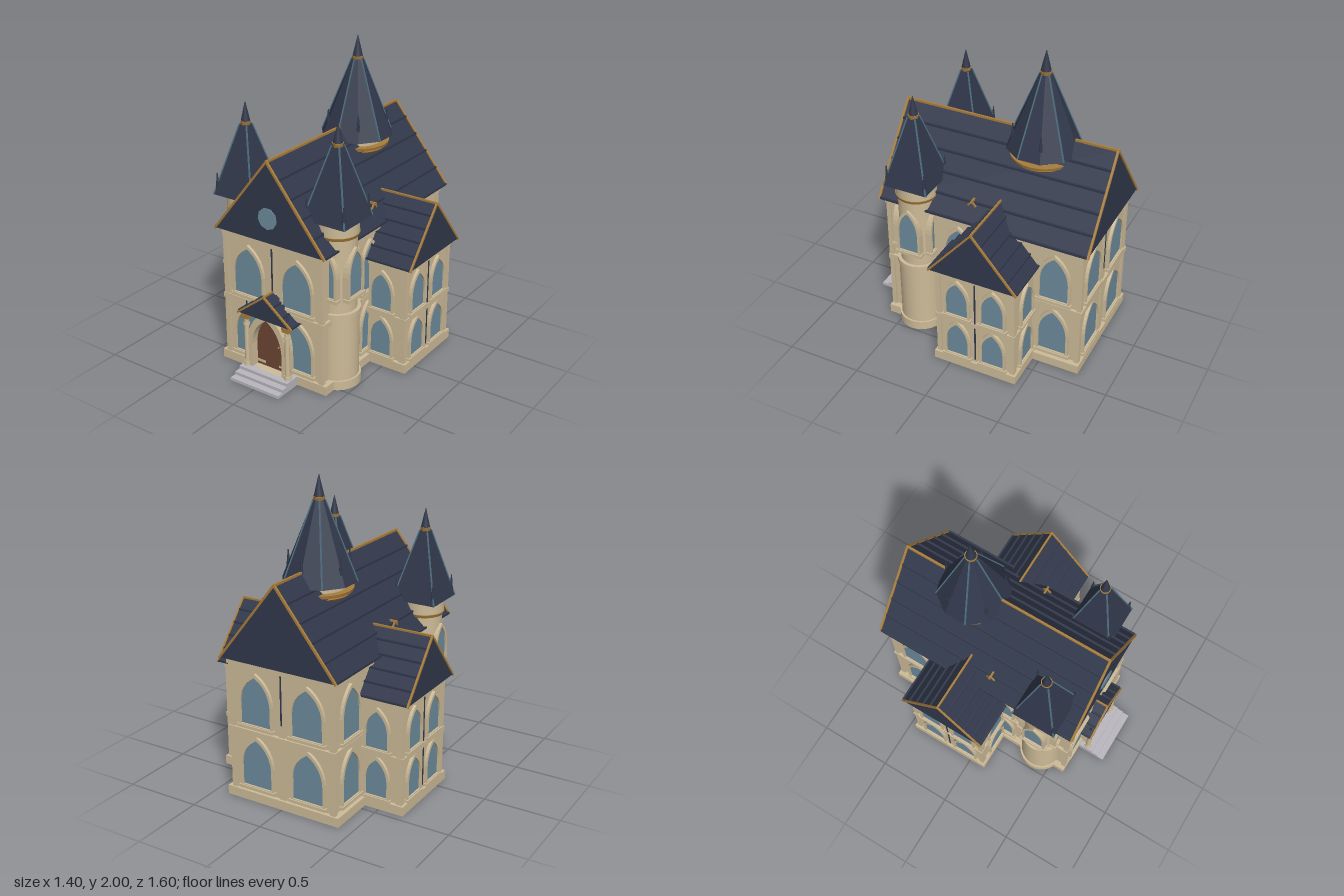
import * as THREE from 'three';

const paint = (name, color) => {
  const m = new THREE.MeshStandardMaterial({ color });
  m.name = name;
  return m;
};

export function createModel() {
  const stone = paint('stone', 0xcdbb98), slate = paint('slate', 0x31384b), gold = paint('gold', 0xa97d3c);
  const glass = paint('glass', 0x6d8b9c), wood = paint('wood', 0x6e4636), step = paint('step', 0xb9b7bd);
  const rib = paint('rib', 0x4f6f80);
  const root = new THREE.Group();
  root.name = 'manor';

  const add = (name, geo, mat, x = 0, y = 0, z = 0, parent = root) => {
    const m = new THREE.Mesh(geo, mat);
    m.name = name;
    m.position.set(x, y, z);
    parent.add(m);
    return m;
  };
  const group = (name, x, y, z, ry = 0, parent = root) => {
    const g = new THREE.Group();
    g.name = name;
    g.position.set(x, y, z);
    g.rotation.y = ry;
    parent.add(g);
    return g;
  };
  // box given by its limits
  const block = (name, mat, x0, x1, y0, y1, z0, z1, parent = root) =>
    add(name, new THREE.BoxGeometry(x1 - x0, y1 - y0, z1 - z0), mat, (x0 + x1) / 2, (y0 + y1) / 2, (z0 + z1) / 2, parent);
  // square bar between two points
  const bar = (name, mat, a, b, t, parent) => {
    const p = new THREE.Vector3(...a), q = new THREE.Vector3(...b), d = q.clone().sub(p);
    const m = add(name, new THREE.BoxGeometry(t, d.length() + t * 0.5, t), mat, 0, 0, 0, parent);
    m.position.copy(p).add(q).multiplyScalar(0.5);
    m.quaternion.setFromUnitVectors(new THREE.Vector3(0, 1, 0), d.normalize());
  };
  // vertical turned piece, optionally faceted
  const turned = (name, mat, rTop, rBottom, y0, y1, parent, sides = 28, spin = 0, x = 0, z = 0) => {
    let g = new THREE.CylinderGeometry(rTop, rBottom, y1 - y0, sides);
    if (sides < 16) {
      g = g.toNonIndexed();
      g.computeVertexNormals();
    }
    g.rotateY(spin);
    return add(name, g, mat, x, (y0 + y1) / 2, z, parent);
  };
  const extrude = (shape, depth) => new THREE.ExtrudeGeometry(shape, { depth, bevelEnabled: false, curveSegments: 7 });

  // pointed arch outline standing on y = base
  const arch = (w, h, base = 0, type = THREE.Shape) => {
    const s = new type(), r = w / 2, spring = base + (h - base) * 0.45;
    s.moveTo(-r, base);
    s.lineTo(r, base);
    s.lineTo(r, spring);
    s.quadraticCurveTo(r * 0.92, base + (h - base) * 0.82, 0, h);
    s.quadraticCurveTo(-r * 0.92, base + (h - base) * 0.82, -r, spring);
    s.closePath();
    return s;
  };
  const archFrame = (w, h, t, depth) => {
    const s = arch(w + t * 2, h + t * 1.6, -t * 0.6);
    s.holes.push(arch(w, h, 0, THREE.Path));
    return extrude(s, depth);
  };
  const windowAt = (x, y, z, ry, w, h) => {
    const g = group('window', x, y, z, ry);
    add('pane', extrude(arch(w + 0.004, h), 0.006), glass, 0, 0, 0, g);
    add('windowFrame', archFrame(w, h, 0.016, 0.044), stone, 0, 0, -0.026, g);
    block('sill', stone, -w / 2 - 0.025, w / 2 + 0.025, -0.025, -0.005, -0.02, 0.026, g);
  };

  // gabled roof along local z, from z0 to z1
  const roof = (name, half, eave, ridge, z0, z1, parent, courses, t, ends) => {
    const g = group(name, 0, 0, 0, 0, parent);
    const s = new THREE.Shape([[-half, eave], [half, eave], [0, ridge]].map(p => new THREE.Vector2(...p)));
    add('slateRoof', extrude(s, z1 - z0), slate, 0, 0, z0, g);
    for (const k of [-1, 1]) {
      for (let i = 0; i < courses; i++) {
        const f = i / courses, x = k * half * (1 - f), y = eave + (ridge - eave) * f;
        bar('slateCourse', slate, [x, y + 0.006, z0 + 0.01], [x, y + 0.006, z1 - 0.01], t, g);
      }
      for (const z of ends) bar('gableTrim', gold, [k * half, eave, z], [0, ridge, z], t, g);
    }
    bar('ridgeTrim', gold, [0, ridge, z0], [0, ridge, z1], t, g);
  };

  // main hall
  block('hallWalls', stone, -0.365, 0.365, 0, 0.94, -0.745, 0.585);
  block('hallPlinth', stone, -0.405, 0.405, 0, 0.06, -0.77, 0.605);
  block('hallBand', stone, -0.385, 0.385, 0.445, 0.48, -0.768, 0.603);
  block('hallCornice', stone, -0.385, 0.385, 0.89, 0.935, -0.768, 0.603);
  roof('hallRoof', 0.41, 0.93, 1.45, -0.797, 0.627, root, 5, 0.014, [-0.797, 0.627]);
  add('roseWindow', new THREE.CylinderGeometry(0.07, 0.07, 0.008, 9), glass, 0, 1.09, 0.629).rotation.x = Math.PI / 2;
  for (const z of [-0.745, 0.585]) {
    for (const x of [-0.36, 0.36]) block('cornerPilaster', stone, x - 0.018, x + 0.018, 0.06, 0.9, z - 0.015, z + 0.015);
    block('middlePilaster', stone, -0.022, 0.022, 0.06, 0.9, z - 0.01, z + 0.01);
    block('middleGroove', slate, -0.005, 0.005, 0.56, 0.88, z - 0.013, z + 0.013);
  }
  for (const y of [0.1, 0.515]) {
    for (const k of [-1, 1]) {
      windowAt(k * 0.185, y, 0.587, 0, 0.215, 0.315);
      windowAt(k * 0.185, y, -0.747, Math.PI, 0.215, 0.315);
      windowAt(k * 0.367, y, -0.575, k * Math.PI / 2, 0.19, 0.315);
      windowAt(k * 0.367, y, 0.085, k * Math.PI / 2, 0.18, 0.315);
    }
  }

  for (const k of [-1, 1]) {
    // side wing, built facing local +z and turned outward
    const w = group('wing', 0, 0, -0.17, k * Math.PI / 2);
    block('wingWalls', stone, -0.26, 0.26, 0, 0.74, 0.2, 0.64, w);
    block('wingPlinth', stone, -0.285, 0.285, 0, 0.06, 0.2, 0.667, w);
    block('wingBand', stone, -0.275, 0.275, 0.345, 0.375, 0.2, 0.658, w);
    block('wingCornice', stone, -0.275, 0.275, 0.695, 0.735, 0.2, 0.658, w);
    block('wingPilaster', stone, -0.02, 0.02, 0.06, 0.7, 0.62, 0.65, w);
    block('wingGroove', slate, -0.005, 0.005, 0.08, 0.68, 0.64, 0.653, w);
    for (const x of [-0.255, 0.255]) block('wingCorner', stone, x - 0.016, x + 0.016, 0.06, 0.7, 0.61, 0.652, w);
    roof('wingRoof', 0.295, 0.73, 1.08, 0.2, 0.692, w, 5, 0.012, [0.692]);
    for (const y of [0.08, 0.4]) {
      for (const z of [-0.045, -0.29]) windowAt(k * 0.642, y, z, k * Math.PI / 2, 0.15, 0.245);
      windowAt(k * 0.475, y, 0.092, 0, 0.15, 0.245);
      windowAt(k * 0.475, y, -0.432, Math.PI, 0.15, 0.245);
    }

    // small gilded crest on the hall roof
    const c = group('roofCrest', k * 0.33, 1.05, 0);
    bar('crestRidge', gold, [-0.03, 0.005, 0], [0.03, 0.005, 0], 0.012, c);
    for (const s of [-1, 1]) bar('crestArm', gold, [k * 0.015, 0.005, 0], [k * 0.015, -0.025, s * 0.026], 0.01, c);

    // front round tower with a square spire
    const t = group('frontTower', k * 0.34, 0, 0.39);
    turned('towerPlinth', stone, 0.15, 0.15, 0, 0.06, t);
    turned('towerLower', stone, 0.137, 0.137, 0.06, 0.5, t);
    turned('towerBand', stone, 0.145, 0.145, 0.49, 0.52, t);
    turned('towerUpper', stone, 0.122, 0.122, 0.52, 1.01, t);
    turned('towerRing', gold, 0.137, 0.13, 1.0, 1.02, t);
    turned('towerHead', stone, 0.132, 0.132, 1.02, 1.1, t);
    turned('towerSpire', slate, 0.038, 0.21, 1.1, 1.55, t, 4, Math.PI / 4);
    spireTop(t, 1.545, 1.69, 0.034);
    ribs(t, 4, Math.PI / 4, 0.038, 0.21, 1.1, 1.55, 0.185);
    for (const ry of [0, k * Math.PI / 2, Math.PI])
      windowAt(k * 0.34 + Math.sin(ry) * 0.121, 0.63, 0.39 + Math.cos(ry) * 0.121, ry, 0.135, 0.29);
  }

  // gilded collar and finial
  function spireTop(parent, y0, y1, r) {
    turned('spireCollar', gold, r, r * 0.85, y0, y0 + 0.025, parent);
    turned('finial', slate, 0.002, r * 0.85, y0 + 0.025, y1, parent, 20);
  }
  // blue ribs along the spire edges, with small spikes near the eaves
  function ribs(parent, n, start, rTop, rBottom, y0, y1, rSpike) {
    for (let i = 0; i < n; i++) {
      const a = start + i / n * Math.PI * 2, s = Math.sin(a), c = Math.cos(a);
      bar('spireRib', rib, [s * rBottom, y0 + 0.004, c * rBottom], [s * rTop, y1, c * rTop], 0.008, parent);
      const b = n === 4 ? a : a + Math.PI / n, y = y0 + (y1 - y0) * (rBottom - rSpike) / (rBottom - rTop);
      turned('eaveSpike', slate, 0.003, 0.013, y - 0.03, y + 0.075, parent, 8, 0, Math.sin(b) * rSpike, Math.cos(b) * rSpike);
    }
  }

  // tall turret astride the ridge
  const turret = group('ridgeTurret', 0, 0, -0.32);
  turned('turretCorbel', stone, 0.16, 0.04, 1.19, 1.27, turret);
  turned('turretLowerRing', gold, 0.19, 0.165, 1.265, 1.285, turret);
  turned('turretNeck', stone, 0.165, 0.165, 1.27, 1.36, turret);
  turned('turretUpperRing', gold, 0.21, 0.205, 1.298, 1.318, turret);
  turned('turretSpire', slate, 0.038, 0.235, 1.36, 1.85, turret, 10);
  spireTop(turret, 1.845, 2.0, 0.038);
  ribs(turret, 5, 0, 0.038, 0.235, 1.36, 1.85, 0.195);

  // entrance porch
  const porch = group('porch', 0, 0, 0);
  roof('porchRoof', 0.205, 0.43, 0.59, 0.58, 0.685, porch, 3, 0.012, [0.685]);
  add('door', extrude(arch(0.232, 0.36), 0.008), wood, 0, 0.06, 0.605, porch);
  add('doorFrame', archFrame(0.23, 0.36, 0.035, 0.08), stone, 0, 0.06, 0.588, porch);
  add('doorKnob', new THREE.SphereGeometry(0.007, 10, 8), gold, 0.055, 0.225, 0.617, porch);
  for (const x of [-0.157, 0.157]) {
    turned('porchColumn', stone, 0.015, 0.017, 0.06, 0.4, porch, 16, 0, x, 0.662);
    turned('columnBase', stone, 0.022, 0.025, 0.05, 0.085, porch, 16, 0, x, 0.662);
    turned('columnRing', stone, 0.021, 0.021, 0.345, 0.36, porch, 16, 0, x, 0.662);
    block('columnCapital', gold, x - 0.026, x + 0.026, 0.395, 0.432, 0.636, 0.684, porch);
    turned('porchSpike', slate, 0.003, 0.012, 0.43, 0.51, porch, 8, 0, x, 0.655);
  }
  [0.8, 0.755, 0.71].forEach((z, i) => block('frontStep', step, -0.187, 0.187, i * 0.02, i * 0.02 + 0.02, 0.6, z, porch));
  return root;
}
